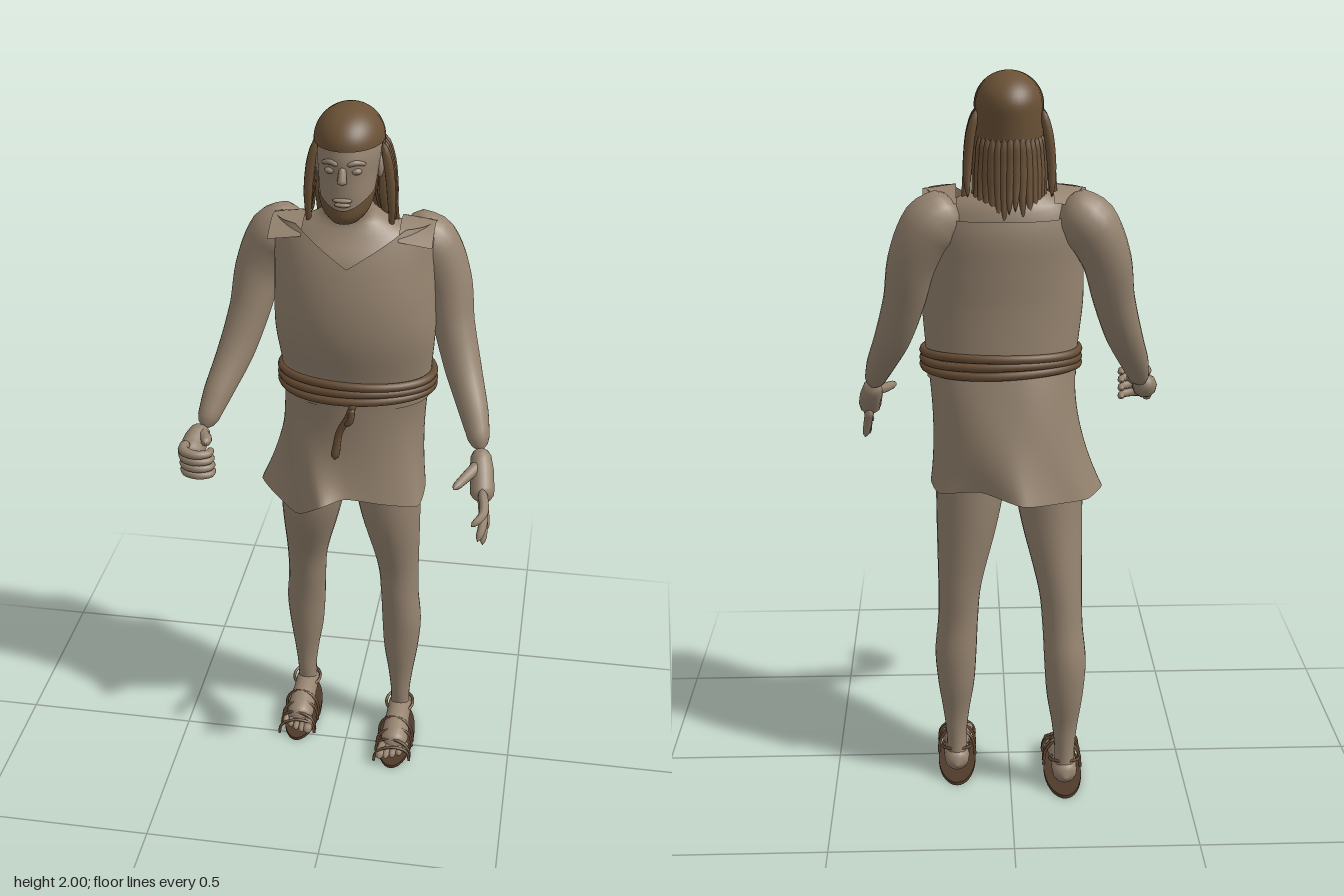
import * as THREE from 'three';
import { mergeVertices } from 'three/addons/utils/BufferGeometryUtils.js';

const mat = (name, color, side = THREE.FrontSide) => {
  const m = new THREE.MeshStandardMaterial({ color, side });
  m.name = name;
  return m;
};
const V = (x, y, z) => new THREE.Vector3(x, y, z);
const { lerp, smoothstep, clamp } = THREE.MathUtils;

// Weld a geometry and give it smooth normals
function smooth(g) {
  g.deleteAttribute('uv');
  g.deleteAttribute('normal');
  const w = mergeVertices(g, 1e-5);
  w.computeVertexNormals();
  return w;
}

// Grid surface from fn(u, v) -> Vector3; u runs from the front towards +x, v runs up
function surface(fn, nu, nv) {
  const pos = [], idx = [];
  for (let i = 0; i <= nv; i++)
    for (let j = 0; j <= nu; j++) pos.push(...fn(j / nu, i / nv).toArray());
  for (let i = 0; i < nv; i++)
    for (let j = 0; j < nu; j++) {
      const a = i * (nu + 1) + j, b = a + nu + 1;
      idx.push(a, a + 1, b + 1, a, b + 1, b);
    }
  const g = new THREE.BufferGeometry();
  g.setAttribute('position', new THREE.Float32BufferAttribute(pos, 3));
  g.setIndex(idx);
  return smooth(g);
}

// Smoothly interpolate rows [y, cx, cz, rx, rz] at a height
function rowAt(rows, y) {
  let k = 0;
  while (k < rows.length - 2 && y > rows[k + 1][0]) k++;
  const p = rows[Math.max(k - 1, 0)], a = rows[k], b = rows[k + 1], n = rows[Math.min(k + 2, rows.length - 1)];
  const h = b[0] - a[0], t = clamp((y - a[0]) / h, 0, 1);
  return a.map((_, j) => {
    const m0 = (b[j] - p[j]) / (b[0] - p[0]) * h, m1 = (n[j] - a[j]) / (n[0] - a[0]) * h;
    return (2 * t ** 3 - 3 * t * t + 1) * a[j] + (t ** 3 - 2 * t * t + t) * m0
      + (3 * t * t - 2 * t ** 3) * b[j] + (t ** 3 - t * t) * m1;
  });
}
const onRow = (rows, y, a) => {
  const [, cx, cz, rx, rz] = rowAt(rows, y);
  return V(cx + rx * Math.sin(a), y, cz + rz * Math.cos(a));
};
const loft = (rows, nu = 32, nv = 40) => surface((u, v) =>
  onRow(rows, lerp(rows[0][0], rows[rows.length - 1][0], v), u * 2 * Math.PI), nu, nv);

// Rounded limb through points [x, y, z, radius]
function limb(pts, seg = 12, rad = 10) {
  const curve = new THREE.CatmullRomCurve3(pts.map(p => V(p[0], p[1], p[2])));
  const g = new THREE.TubeGeometry(curve, seg, 1, rad), pos = g.attributes.position, p = V();
  for (let i = 0; i <= seg; i++) {
    const c = curve.getPointAt(i / seg), t = curve.getUtoTmapping(i / seg) * (pts.length - 1);
    const k = Math.min(Math.floor(t), pts.length - 2), e = Math.min(i, seg - i);
    const r = lerp(pts[k][3], pts[k + 1][3], t - k) * (e === 0 ? 0.02 : e === 1 ? 0.8 : 1);
    for (let j = 0; j <= rad; j++) {
      const n = i * (rad + 1) + j;
      p.fromBufferAttribute(pos, n).sub(c).multiplyScalar(r).add(c);
      pos.setXYZ(n, p.x, p.y, p.z);
    }
  }
  return smooth(g);
}

export function createModel() {
  const model = new THREE.Group();
  const skin = mat('skin', 0x95836f), cloth = mat('tunic cloth', 0x95836f, THREE.DoubleSide);
  const hair = mat('hair', 0x6a5136, THREE.DoubleSide), rope = mat('rope', 0x664c34), sole = mat('sole leather', 0x4f3a2a);
  const add = (name, geo, m, parent = model) => {
    const mesh = new THREE.Mesh(geo, m);
    mesh.name = name;
    parent.add(mesh);
    return mesh;
  };
  const ball = (name, m, x, y, z, sx, sy, sz) => {
    const b = add(name, new THREE.SphereGeometry(1, 16, 12), m);
    b.position.set(x, y, z);
    b.scale.set(sx, sy, sz);
  };

  // Body and neck under the tunic
  add('torso', loft([[0.93, 0, -0.08, 0.02, 0.02], [0.95, 0, -0.085, 0.14, 0.09], [1.1, 0.01, -0.09, 0.17, 0.11],
    [1.25, 0.02, -0.06, 0.18, 0.115], [1.45, 0.015, -0.05, 0.2, 0.125], [1.6, 0.01, -0.07, 0.19, 0.115],
    [1.67, 0.005, -0.085, 0.15, 0.085], [1.705, 0, -0.08, 0.085, 0.065], [1.74, 0, -0.06, 0.06, 0.058],
    [1.8, 0, -0.055, 0.056, 0.056]], 40, 60), skin);

  // Head and face
  add('head', loft([[1.725, 0, 0.02, 0.015, 0.025], [1.74, 0, 0.012, 0.045, 0.05], [1.78, 0, -0.006, 0.066, 0.07],
    [1.84, 0, -0.035, 0.076, 0.098], [1.9, 0, -0.05, 0.08, 0.111], [1.96, 0, -0.055, 0.06, 0.085],
    [1.985, 0, -0.055, 0.01, 0.01]]), skin);
  add('nose', limb([[0, 1.875, 0.056, 0.009], [0, 1.85, 0.068, 0.011], [0, 1.832, 0.073, 0.014]]), skin);
  ball('upperLip', skin, 0, 1.79, 0.064, 0.025, 0.006, 0.009);
  ball('lowerLip', skin, 0, 1.778, 0.063, 0.021, 0.006, 0.009);
  for (const s of [-1, 1]) {
    ball('eye', skin, s * 0.032, 1.863, 0.049, 0.015, 0.009, 0.012);
    add('brow', limb([[s * 0.01, 1.88, 0.061, 0.006], [s * 0.032, 1.886, 0.055, 0.007], [s * 0.056, 1.878, 0.036, 0.005]]), skin);
    ball('ear', skin, s * 0.078, 1.845, -0.055, 0.01, 0.032, 0.02);
  }

  // Beard along the jaw
  const jaw = [[1.725, 0, 0.014, 0.035, 0.048], [1.745, 0, 0.01, 0.055, 0.06], [1.78, 0, -0.004, 0.07, 0.073], [1.82, 0, -0.02, 0.076, 0.084]];
  add('beard', surface((u, v) => {
    const a = lerp(-1.7, 1.7, u);
    return onRow(jaw, lerp(1.726, 1.765 + 0.04 * Math.abs(Math.sin(a)) ** 2, v), a);
  }, 32, 8), hair);

  // Hair cap with a longer back
  add('hairCap', surface((u, v) => {
    const a = u * 2 * Math.PI, low = lerp(1.915, 1.74, smoothstep(-Math.cos(a), 0.05, 0.4));
    const y = lerp(low, 2, Math.sin(v * Math.PI / 2)), k = Math.sqrt(Math.max(0, 1 - (Math.max(0, y - 1.915) / 0.085) ** 2));
    const drop = Math.max(0, 1.915 - y);
    return V(0.09 * k * Math.sin(a), y, -0.055 + (0.12 - drop * 0.1) * k * Math.cos(a));
  }, 48, 24), hair);

  // Hanging strands at the back and plaited locks at the sides
  for (let i = 0; i < 15; i++) {
    const a = Math.PI + (i - 7) * 0.17, w = Math.sin(i * 7.3), s = Math.sin(a), c = Math.cos(a);
    add('backStrand', limb([[0.085 * s, 1.85, -0.055 + 0.108 * c, 0.012], [0.09 * s, 1.75, -0.06 + 0.1 * c, 0.015],
      [0.1 * s + 0.005 * w, 1.63 + 0.03 * w, -0.08 + 0.1 * c, 0.005]], 12, 7), hair);
  }
  for (const s of [-1, 1])
    for (let i = 0; i < 4; i++) {
      const z = -0.05 - i * 0.018;
      add('sideLock', limb([[s * 0.084, 1.91, z, 0.01], [s * 0.1, 1.84, z, 0.013], [s * 0.108, 1.76, z, 0.012],
        [s * (0.108 + 0.006 * (i % 3)), 1.66 + 0.025 * (i % 2), z - 0.012, 0.006]], 14, 7), hair);
    }

  // Sleeveless tunic with a V neck and low back
  const body = [[1.2, 0.02, -0.066, 0.2, 0.134], [1.27, 0.02, -0.062, 0.203, 0.136], [1.4, 0.017, -0.046, 0.215, 0.146],
    [1.5, 0.015, -0.047, 0.213, 0.147], [1.6, 0.012, -0.057, 0.21, 0.137], [1.67, 0.012, -0.06, 0.207, 0.113], [1.71, 0.012, -0.055, 0.2, 0.085]];
  add('tunicTop', surface((u, v) => {
    const a = u * 2 * Math.PI, x = 0.2 * Math.abs(Math.sin(a));
    const top = Math.cos(a) > 0 ? 1.61 + 0.09 * Math.min(1, x / 0.14) : 1.635 + 0.065 * smoothstep(x, 0.13, 0.2);
    return onRow(body, lerp(1.2, top, v), a);
  }, 72, 30), cloth);
  for (const s of [-1, 1])
    add('shoulderStrap', surface((u, v) => V(0.012 + s * lerp(0.125, 0.212, u), 1.675 + 0.036 * Math.sin(v * Math.PI) - 0.012 * u,
      lerp(0.034, -0.14, v)), 6, 12), cloth);

  // Flared skirt with an uneven hem
  const hem = new THREE.CatmullRomCurve3([V(0.01, 0.93, 0.09), V(0.11, 0.905, 0.06), V(0.205, 0.885, 0.02), V(0.215, 0.9, -0.08),
    V(0.19, 0.9, -0.18), V(0.08, 0.92, -0.23), V(-0.03, 0.9, -0.29), V(-0.14, 0.885, -0.225), V(-0.21, 0.88, -0.18),
    V(-0.255, 0.88, -0.07), V(-0.14, 0.835, 0.03), V(-0.055, 0.92, 0.13)], true, 'catmullrom', 0.3);
  add('skirt', surface((u, v) => {
    const a = u * 2 * Math.PI, s = Math.sin(a), c = Math.cos(a);
    return hem.getPoint(u % 1).multiplyScalar(2 * v * v - 3 * v + 1)
      .addScaledVector(V(0.008 + 0.198 * s, 1.07, -0.085 + 0.155 * c), 4 * v - 4 * v * v)
      .addScaledVector(V(0.02 + 0.2 * s, 1.24, -0.065 + 0.135 * c), 2 * v * v - v);
  }, 72, 20), cloth);

  // Rope belt with a hanging end
  for (let i = 0; i < 3; i++) {
    const ring = Array.from({ length: 24 }, (_, k) => k * Math.PI / 12)
      .map(a => V(0.022 + 0.207 * Math.sin(a), 1.231 + i * 0.021 + 0.004 * Math.sin(a * 2 + i), -0.06 + 0.14 * Math.cos(a)));
    add('belt', new THREE.TubeGeometry(new THREE.CatmullRomCurve3(ring, true), 72, 0.012, 8, true), rope);
  }
  add('beltEnd', limb([[0.035, 1.235, 0.085, 0.011], [0.018, 1.185, 0.085, 0.01], [-0.005, 1.14, 0.084, 0.01], [-0.012, 1.1, 0.086, 0.011], [-0.018, 1.055, 0.09, 0.014]], 18), rope);
  add('beltLoop', limb([[0.03, 1.22, 0.09, 0.009], [0.025, 1.18, 0.094, 0.009], [0.01, 1.165, 0.09, 0.008]]), rope);

  // Arms
  for (const s of [-1, 1])
    add(s > 0 ? 'leftArm' : 'rightArm', limb([[s * 0.13, 1.665, -0.1, 0.055], [s * 0.2, 1.62, -0.115, 0.078], [s * 0.25, 1.53, -0.11, 0.066],
      [s * 0.277, 1.41, -0.08, 0.056], [s * 0.31, 1.3, -0.035, 0.05], [s * 0.35, 1.2, 0.035, 0.039], [s * 0.377, 1.12, 0.095, 0.024]], 36, 20), skin);

  // Open left hand
  add('leftPalm', limb([[0.374, 1.13, 0.085, 0.024], [0.383, 1.085, 0.13, 0.032], [0.39, 1.04, 0.175, 0.032], [0.39, 1.02, 0.195, 0.025]]), skin);
  for (const [x, y, z, ky, kz] of [[0.372, 1.005, 0.285, 1.045, 0.21], [0.39, 0.955, 0.278, 1.025, 0.2], [0.402, 0.925, 0.245, 1.01, 0.18], [0.408, 0.935, 0.19, 1.015, 0.16]])
    add('leftFinger', limb([[0.39, ky + 0.02, kz - 0.02, 0.013], [0.4, (ky + y) / 2, (kz + z) / 2, 0.012], [x, y, z, 0.009]], 12, 8), skin);
  add('leftThumb', limb([[0.378, 1.1, 0.12, 0.018], [0.35, 1.09, 0.17, 0.015], [0.318, 1.083, 0.235, 0.01]]), skin);

  // Closed right hand
  add('rightPalm', limb([[-0.376, 1.13, 0.085, 0.024], [-0.39, 1.105, 0.125, 0.035], [-0.395, 1.09, 0.17, 0.036], [-0.395, 1.085, 0.2, 0.028]]), skin);
  for (let i = 0; i < 4; i++) {
    const y = 1.125 - i * 0.023, z = -0.004 * i;
    add('rightFinger', limb([[-0.403, y, 0.175 + z, 0.014], [-0.402, y, 0.22 + z, 0.014], [-0.368, y - 0.003, 0.234 + z, 0.012],
      [-0.335, y - 0.005, 0.218 + z, 0.011], [-0.333, y - 0.005, 0.188 + z, 0.01]], 16, 8), skin);
  }
  add('rightThumb', limb([[-0.38, 1.12, 0.11, 0.018], [-0.358, 1.12, 0.145, 0.016], [-0.355, 1.125, 0.175, 0.011]]), skin);

  // Legs, feet and sandals; the right foot stands further back
  const leg = [[0.05, 0.152, -0.115, 0.03, 0.035], [0.12, 0.153, -0.108, 0.028, 0.036], [0.2, 0.153, -0.107, 0.036, 0.038],
    [0.3, 0.152, -0.11, 0.051, 0.052], [0.4, 0.152, -0.111, 0.058, 0.06], [0.5, 0.145, -0.108, 0.056, 0.062],
    [0.6, 0.139, -0.108, 0.06, 0.07], [0.8, 0.115, -0.09, 0.086, 0.1], [0.95, 0.102, -0.085, 0.096, 0.105], [1.1, 0.09, -0.09, 0.08, 0.1]];
  for (const s of [-1, 1]) {
    const side = s > 0 ? 'left' : 'right', back = s > 0 ? 0 : -0.08;
    add(side + 'Leg', loft(leg.map(([y, x, z, rx, rz]) => [y, s * x, z + back * (1 - smoothstep(y, 0.3, 0.9)), rx, rz]), 24, 48), skin);
    const foot = new THREE.Group();
    foot.name = side + 'Foot';
    foot.position.set(s * 0.153, 0, back);
    model.add(foot);
    const instep = limb([[0, 0.05, -0.16, 0.03], [0, 0.062, -0.115, 0.036], [0, 0.062, -0.05, 0.036], [0, 0.045, 0.02, 0.042], [0, 0.036, 0.07, 0.036]], 20, 16);
    const p = instep.attributes.position;
    for (let i = 0; i < p.count; i++) p.setY(i, Math.max(p.getY(i), 0.02));
    instep.computeVertexNormals();
    add('instep', instep, skin, foot);
    for (let i = 0; i < 5; i++) {
      const x = s * (-0.034 + i * 0.018), z = 0.112 - i * i * 0.0025, r = i ? 0.01 : 0.014;
      add('toe', limb([[x * 0.85, 0.04, 0.04, r], [x, 0.038, z - 0.025, r], [x * 1.05, 0.03, z, r]], 10, 8), skin, foot);
    }
    const plate = add('sole', new THREE.CylinderGeometry(1, 1, 0.01, 36), sole, foot);
    plate.scale.set(0.054, 1, 0.147);
    plate.position.set(0, 0.005, -0.032);
    [[0.09, 0.05], [0.06, 0.055], [0.025, 0.07], [-0.015, 0.08]].forEach(([z, h], i) => {
      const arch = Array.from({ length: 9 }, (_, k) => k * Math.PI / 8)
        .map(a => V(0.053 * Math.cos(a), 0.01 + h * Math.sin(a) ** 0.7, z + 0.008 * (i % 2 ? 1 : -1) * Math.cos(a)));
      add('strap', new THREE.TubeGeometry(new THREE.CatmullRomCurve3(arch), 24, 0.0045, 6), rope, foot);
    });
    const loop = add('ankleStrap', new THREE.TorusGeometry(0.041, 0.0045, 6, 28), rope, foot);
    loop.rotation.x = Math.PI / 2 + 0.3;
    loop.position.set(0, 0.085, -0.1);
  }
  return model;
}
